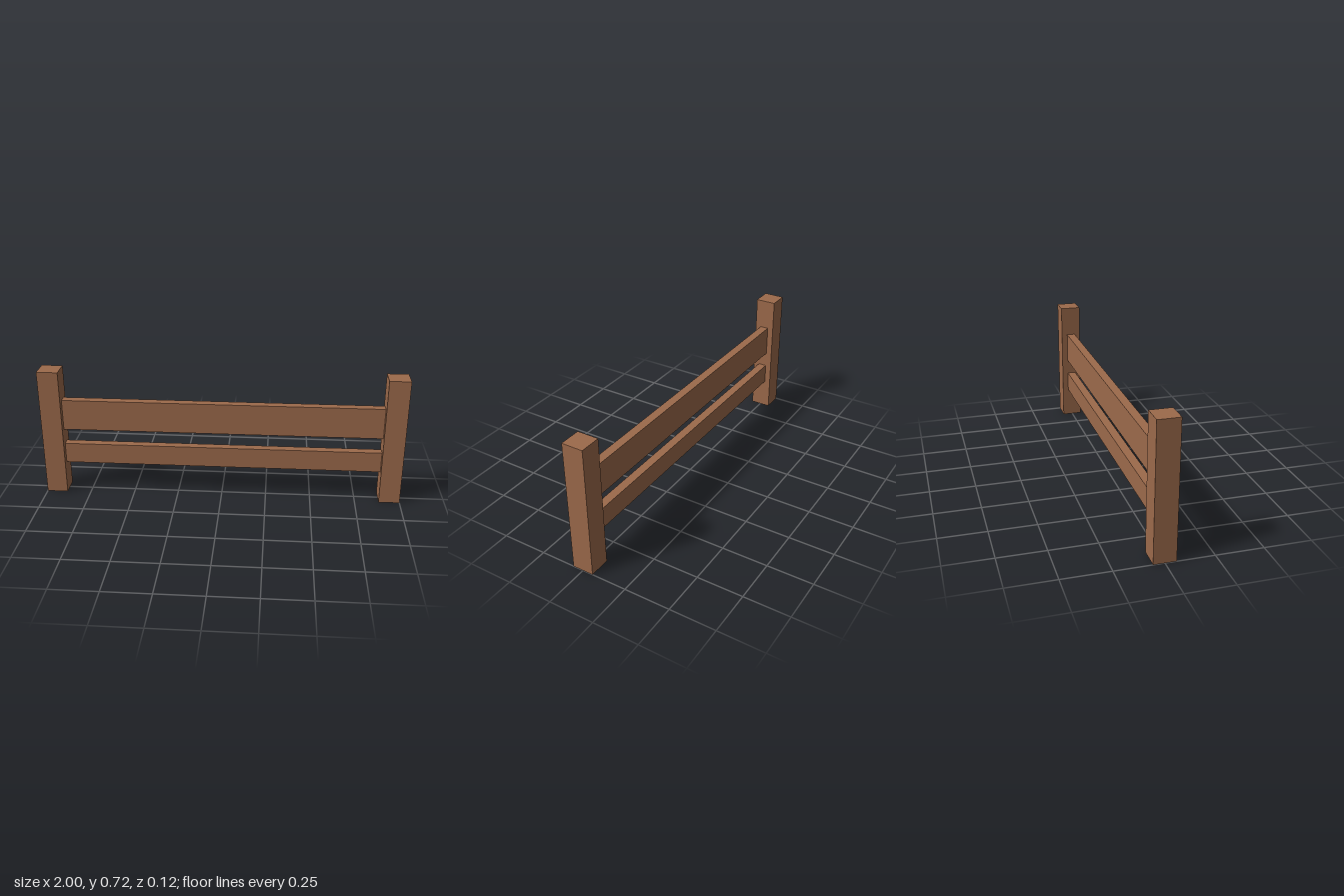
import * as THREE from 'three';

const POST = 0.116; // square post section
const HEIGHT = 0.724;

export function createModel() {
  const fence = new THREE.Group();
  fence.name = 'fence';
  const wood = new THREE.MeshStandardMaterial({ color: 0x9c6a4b, flatShading: true });

  const addBeam = (name, width, bottom, top, depth, x = 0) => {
    const beam = new THREE.Mesh(new THREE.BoxGeometry(width, top - bottom, depth), wood);
    beam.name = name;
    beam.position.set(x, (bottom + top) / 2, 0);
    fence.add(beam);
  };

  // Square end posts
  for (const [name, side] of [['leftPost', 1], ['rightPost', -1]]) {
    addBeam(name, POST, 0, HEIGHT, POST, side * (1 - POST / 2));
  }

  // Thin rails spanning between the inner post faces
  const span = 2 - 2 * POST;
  addBeam('upperRail', span, 0.376, 0.55, 0.048);
  addBeam('lowerRail', span, 0.173, 0.289, 0.048);

  return fence;
}
